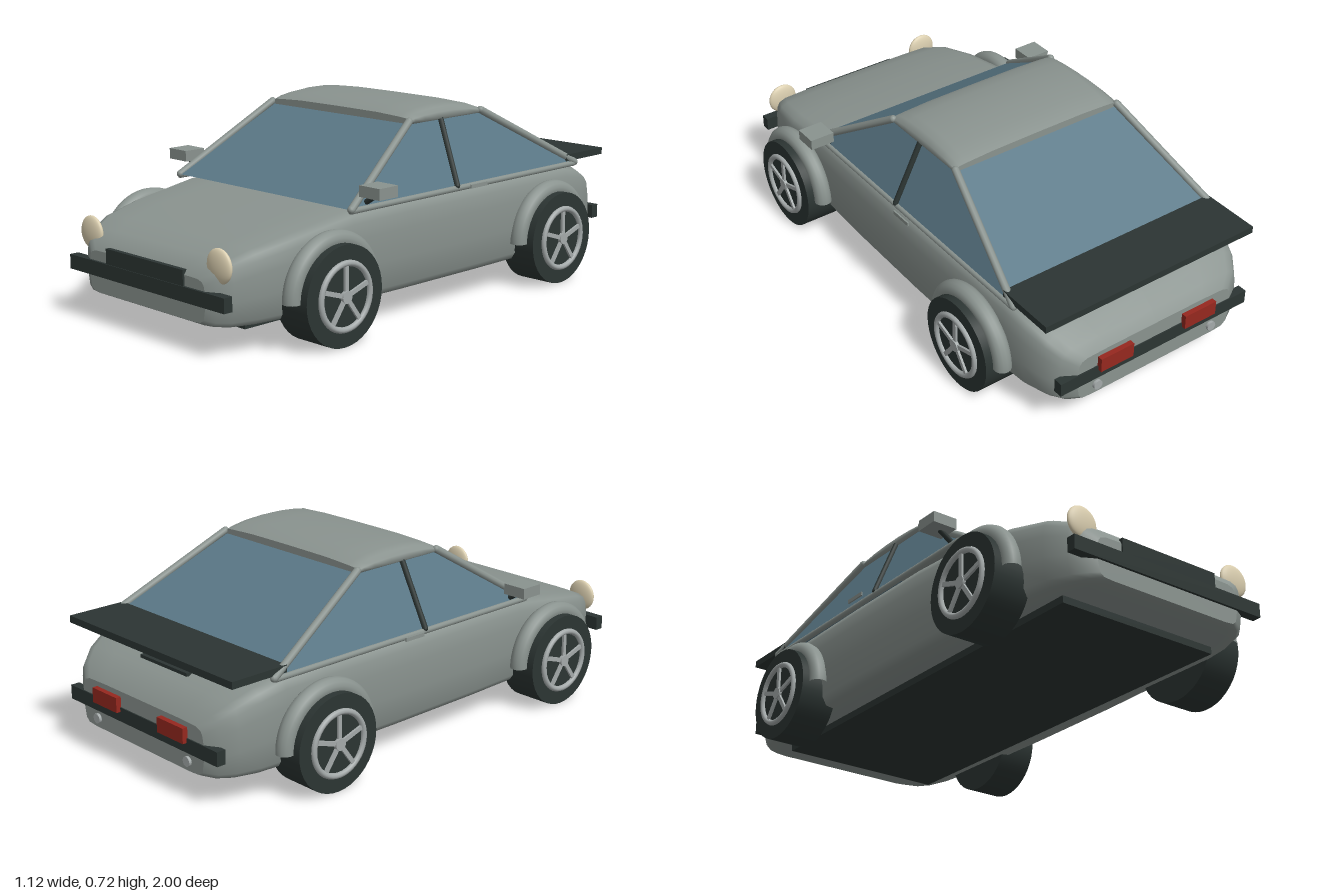
import * as THREE from 'three';

const mat = (name, color, side = THREE.FrontSide) => {
  const m = new THREE.MeshStandardMaterial({ color, side });
  m.name = name;
  return m;
};

// Closed skin through rings of [x, y] points, sections ordered from front to back
function loft(sections) {
  const pos = [], idx = [], n = sections[0].ring.length;
  for (const { z, ring } of sections) for (const [x, y] of ring) pos.push(x, y, z);
  for (let i = 0; i < sections.length - 1; i++) {
    for (let j = 0; j < n; j++) {
      const a = i * n + j, b = i * n + (j + 1) % n, c = a + n, d = b + n;
      idx.push(a, c, b, b, c, d);
    }
  }
  [sections[0], sections[sections.length - 1]].forEach(({ z, ring }, end) => {
    const s = pos.length / 3;
    const cy = ring.reduce((sum, p) => sum + p[1], 0) / n;
    pos.push(0, cy, z);
    for (const [x, y] of ring) pos.push(x, y, z);
    for (let j = 0; j < n; j++) {
      const a = s + 1 + j, b = s + 1 + (j + 1) % n;
      idx.push(s, end ? b : a, end ? a : b);
    }
  });
  const g = new THREE.BufferGeometry();
  g.setAttribute('position', new THREE.Float32BufferAttribute(pos, 3));
  g.setIndex(idx);
  g.computeVertexNormals();
  return g;
}

// Mirror a right-hand half profile (bottom centre to top centre) into a ring
const mirrorRing = half => [...half, ...half.slice(1, -1).reverse().map(([x, y]) => [-x, y])];

export function createModel() {
  const car = new THREE.Group();
  car.name = 'car';
  const paint = mat('silver paint', 0x8a938f);
  const trim = mat('dark trim', 0x2c3533);
  const glass = mat('blue grey glass', 0x5b7988, THREE.DoubleSide);
  const rimMetal = mat('rim metal', 0xa4aaaa);
  const lampCream = mat('lamp cream', 0xdbcfb0);
  const lampRed = mat('lamp red', 0x96281f);

  const add = (name, geo, material, x = 0, y = 0, z = 0, parent = car) => {
    const m = new THREE.Mesh(geo, material);
    m.name = name;
    m.position.set(x, y, z);
    parent.add(m);
    return m;
  };
  const box = (name, material, w, h, d, x, y, z, parent) =>
    add(name, new THREE.BoxGeometry(w, h, d), material, x, y, z, parent);
  const rod = (name, material, from, to, r) => {
    const curve = new THREE.LineCurve3(new THREE.Vector3(...from), new THREE.Vector3(...to));
    add(name, new THREE.TubeGeometry(curve, 1, r, 10), material);
    for (const p of [from, to]) add(name + 'End', new THREE.SphereGeometry(r, 10, 8), material, ...p);
  };

  // Lower body: z, half width, top, bottom
  const body = [
    [0.99, 0.31, 0.265, 0.115], [0.97, 0.35, 0.295, 0.105], [0.93, 0.385, 0.325, 0.1],
    [0.85, 0.42, 0.357, 0.1], [0.7, 0.447, 0.388, 0.1], [0.45, 0.458, 0.427, 0.1],
    [0.2, 0.468, 0.435, 0.1], [-0.2, 0.472, 0.435, 0.1], [-0.55, 0.468, 0.435, 0.1],
    [-0.72, 0.463, 0.43, 0.1], [-0.82, 0.453, 0.405, 0.1], [-0.9, 0.425, 0.365, 0.1],
    [-0.95, 0.39, 0.325, 0.103], [-0.98, 0.34, 0.285, 0.11],
  ];
  add('body', loft(body.map(([z, w, t, b]) => {
    const h = t - b;
    const half = [[0, 0], [0.8, 0], [0.92, 0.02], [0.97, 0.1], [1, 0.4], [0.995, 0.7],
      [0.98, 0.86], [0.95, 0.94], [0.88, 0.985], [0.6, 1], [0, 1]];
    return { z, ring: mirrorRing(half.map(([x, y]) => [x * w, b + y * h])) };
  })), paint);

  // Domed roof panel
  const roof = [[0.08, 0.698], [0.05, 0.712], [0, 0.722], [-0.07, 0.728], [-0.15, 0.728],
    [-0.23, 0.72], [-0.28, 0.709], [-0.31, 0.697]];
  add('roof', loft(roof.map(([z, t]) => ({
    z,
    ring: mirrorRing([[0, 0.664], [0.345, 0.664], [0.362, 0.675], [0.358, 0.664 + (t - 0.664) * 0.5],
      [0.34, 0.664 + (t - 0.664) * 0.75], [0.31, t - 0.006], [0.2, t - 0.001], [0, t]]),
  }))), paint);

  // Cabin glass, four panes
  const corner = (s, top, front) => top
    ? [s * 0.35, 0.67, front ? 0.08 : -0.31] : [s * 0.452, 0.435, front ? 0.47 : -0.77];
  const pane = (name, a, b, c, d) => {
    const g = new THREE.BufferGeometry();
    g.setAttribute('position', new THREE.Float32BufferAttribute([...a, ...b, ...c, ...d], 3));
    g.setIndex([0, 1, 2, 0, 2, 3]);
    g.computeVertexNormals();
    add(name, g, glass);
  };
  pane('windscreen', corner(-1, 0, 1), corner(1, 0, 1), corner(1, 1, 1), corner(-1, 1, 1));
  pane('rearWindow', corner(1, 0, 0), corner(-1, 0, 0), corner(-1, 1, 0), corner(1, 1, 0));
  pane('leftWindow', corner(1, 0, 1), corner(1, 0, 0), corner(1, 1, 0), corner(1, 1, 1));
  pane('rightWindow', corner(-1, 0, 0), corner(-1, 0, 1), corner(-1, 1, 1), corner(-1, 1, 0));

  // Wheel: tyre, rim ring, spokes and hub, with the axle along x
  const wheel = (x, z) => {
    const g = new THREE.Group();
    g.name = 'wheel';
    g.position.set(x, 0.178, z);
    g.rotation.y = x > 0 ? 0 : Math.PI;
    car.add(g);
    add('tyre', new THREE.CylinderGeometry(0.175, 0.175, 0.145, 40).rotateZ(Math.PI / 2), trim, 0, 0, 0, g);
    add('rimRing', new THREE.TorusGeometry(0.113, 0.011, 8, 40).rotateY(Math.PI / 2), rimMetal, 0.075, 0, 0, g);
    add('hub', new THREE.CylinderGeometry(0.022, 0.022, 0.02, 16).rotateZ(Math.PI / 2), rimMetal, 0.075, 0, 0, g);
    for (let i = 0; i < 5; i++) {
      const spoke = new THREE.BoxGeometry(0.012, 0.105, 0.016).translate(0, 0.06, 0).rotateX(i * Math.PI * 0.4);
      add('spoke', spoke, rimMetal, 0.075, 0, 0, g);
    }
  };

  for (const s of [1, -1]) {
    for (const z of [0.59, -0.575]) {
      wheel(s * 0.473, z);
      // Wheel arch flare
      add('wheelArch', new THREE.TorusGeometry(0.183, 0.033, 14, 32, Math.PI).rotateY(Math.PI / 2),
        paint, s * 0.485, 0.178, z);
    }
    // Roof pillars and belt line
    rod('frontPillar', paint, [s * 0.45, 0.435, 0.465], [s * 0.356, 0.68, 0.08], 0.014);
    rod('rearPillar', paint, [s * 0.45, 0.435, -0.77], [s * 0.356, 0.68, -0.31], 0.014);
    rod('beltLine', paint, [s * 0.45, 0.43, 0.465], [s * 0.45, 0.43, -0.76], 0.011);
    rod('doorPillar', trim, [s * 0.453, 0.44, -0.072], [s * 0.354, 0.67, -0.09], 0.011);

    // Mirror and its stalk
    box('mirror', paint, 0.095, 0.04, 0.09, s * 0.503, 0.496, 0.388);
    rod('mirrorStalk', trim, [s * 0.445, 0.45, 0.388], [s * 0.49, 0.478, 0.388], 0.01);
    box('doorHandle', paint, 0.006, 0.014, 0.09, s * 0.485, 0.436, -0.155);

    // Lamps and exhausts
    add('headlight', new THREE.SphereGeometry(1, 28, 18).scale(0.06, 0.06, 0.018),
      lampCream, s * 0.34, 0.31, 0.953);
    box('tailLight', lampRed, 0.14, 0.055, 0.03, s * 0.185, 0.238, -0.985);
    add('exhaust', new THREE.CylinderGeometry(0.018, 0.018, 0.05, 16).rotateX(Math.PI / 2),
      rimMetal, s * 0.255, 0.145, -0.965);
  }

  // Bumpers, number plate panel and floor
  box('frontBumper', trim, 0.825, 0.052, 0.035, 0, 0.201, 0.982);
  box('frontPanel', trim, 0.413, 0.055, 0.025, 0, 0.254, 0.984);
  box('rearBumper', trim, 0.825, 0.052, 0.035, 0, 0.201, -0.967);
  box('floor', trim, 0.66, 0.03, 1.67, 0, 0.089, 0.005);

  // Rear wing, its mount and the deck grille
  box('rearWing', trim, 0.905, 0.026, 0.23, 0, 0.456, -0.832);
  box('wingMount', paint, 0.5, 0.045, 0.08, 0, 0.425, -0.812);
  box('deckGrille', trim, 0.26, 0.012, 0.03, 0, 0.386, -0.865);

  return car;
}
